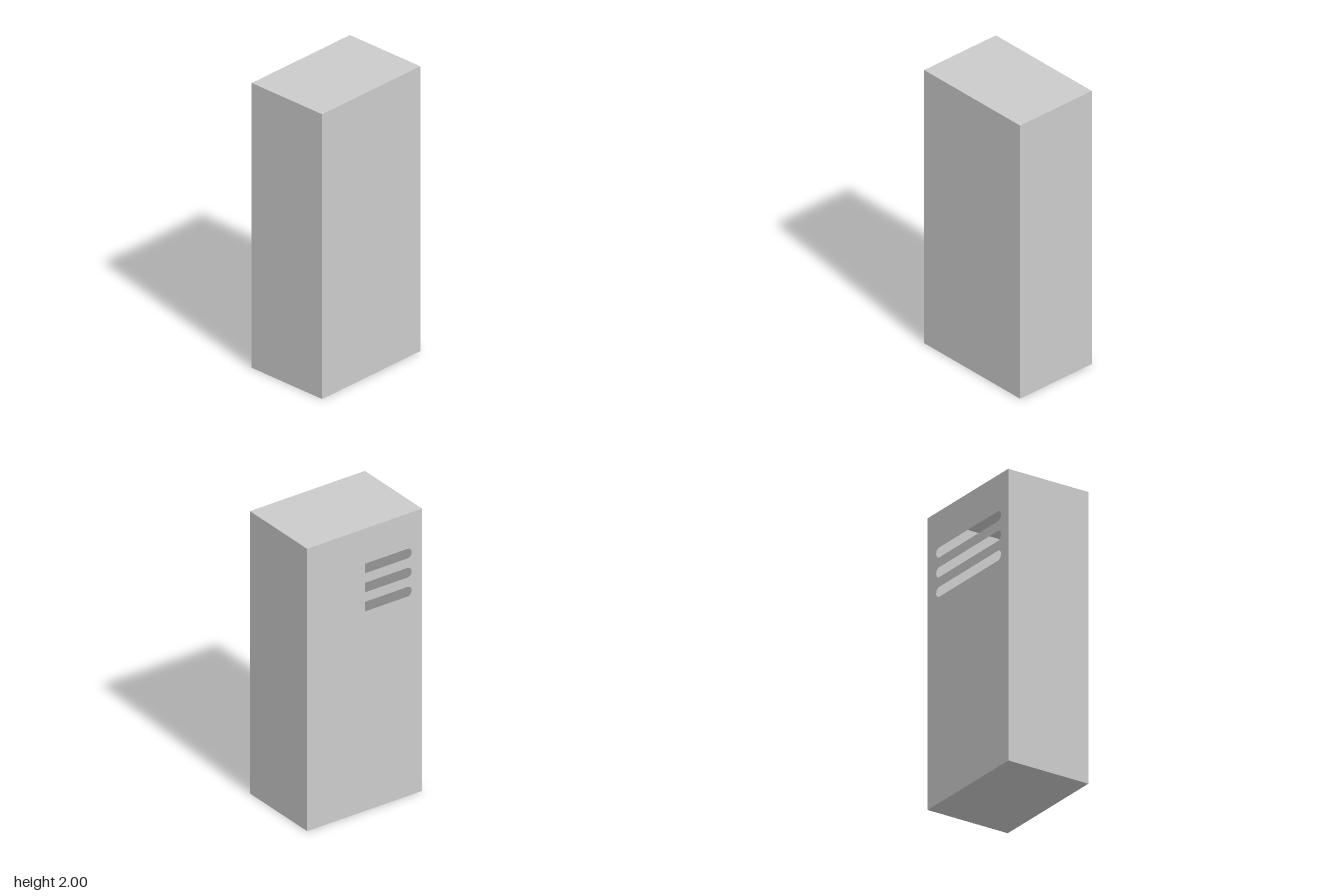
import * as THREE from 'three';

const W = 0.884, H = 2, D = 0.604;
const SLOT_HALF = 0.355, SLOT_R = 0.034, SLOT_X = 0.007; // vent slots, seen from behind
const SLOT_HEIGHTS = [1.717, 1.582, 1.447];

// Long slot with rounded ends
function slotPath(cx, cy) {
  const path = new THREE.Path();
  const e = SLOT_HALF - SLOT_R;
  path.absarc(cx + e, cy, SLOT_R, -Math.PI / 2, Math.PI / 2, false);
  path.absarc(cx - e, cy, SLOT_R, Math.PI / 2, Math.PI * 1.5, false);
  path.closePath();
  return path;
}

export function createModel() {
  const group = new THREE.Group();
  group.name = 'ventedCabinet';
  const sheet = new THREE.MeshStandardMaterial({ color: 0xcccccc, side: THREE.DoubleSide });

  // Hollow sheet body: a box without its back face (the last six indices)
  const bodyGeometry = new THREE.BoxGeometry(W, H, D);
  bodyGeometry.setIndex(Array.from(bodyGeometry.index.array).slice(0, 30));
  bodyGeometry.clearGroups();
  const body = new THREE.Mesh(bodyGeometry, sheet);
  body.name = 'cabinetBody';
  body.position.y = H / 2;
  group.add(body);

  // Back panel with three vent slots near the top
  const panel = new THREE.Shape();
  panel.moveTo(-W / 2, 0);
  panel.lineTo(W / 2, 0);
  panel.lineTo(W / 2, H);
  panel.lineTo(-W / 2, H);
  panel.closePath();
  for (const y of SLOT_HEIGHTS) panel.holes.push(slotPath(SLOT_X, y));
  const back = new THREE.Mesh(new THREE.ShapeGeometry(panel, 16), sheet);
  back.name = 'ventedBackPanel';
  back.rotation.y = Math.PI;
  back.position.z = -D / 2;
  group.add(back);

  return group;
}
